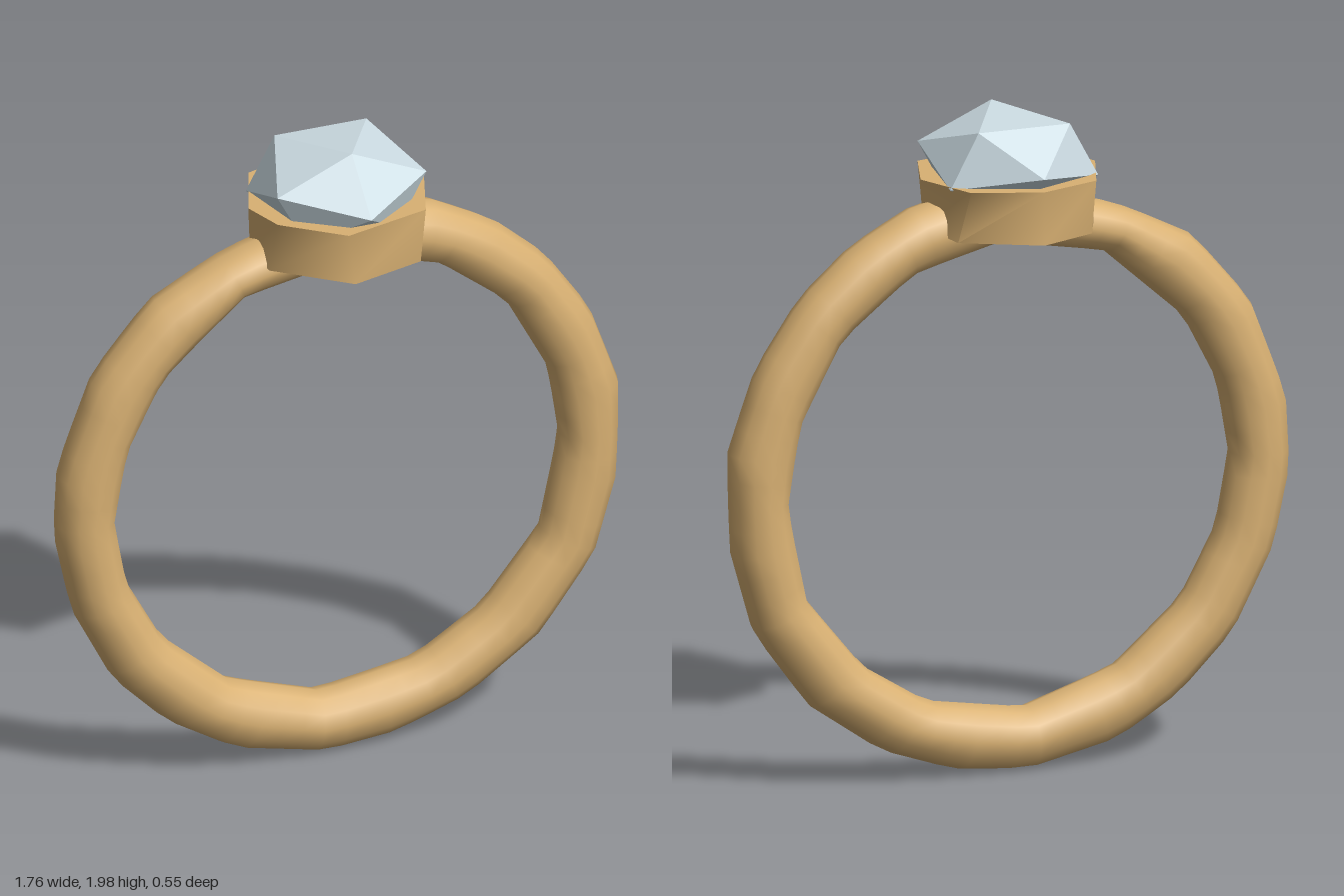
import * as THREE from 'three';
import { mergeVertices, toCreasedNormals } from 'three/addons/utils/BufferGeometryUtils.js';

const gold = new THREE.MeshStandardMaterial({ color: 0xd9b173 });
const crystal = new THREE.MeshStandardMaterial({ color: 0xcbdbe2, flatShading: true });
const CENTRE_Y = 0.88;

// Hand-cut outlines of the band, counter-clockwise from the bottom
const OUTER = [[-0.05, 0], [0.17, 0.02], [0.4, 0.1], [0.63, 0.26], [0.8, 0.49], [0.87, 0.73], [0.88, 1.03],
  [0.79, 1.28], [0.65, 1.48], [0.49, 1.62], [0.28, 1.73], [0, 1.76], [-0.27, 1.69], [-0.38, 1.65], [-0.58, 1.55],
  [-0.76, 1.34], [-0.87, 1.05], [-0.88, 0.83], [-0.83, 0.6], [-0.7, 0.35], [-0.53, 0.18], [-0.33, 0.06]];
const INNER = [[-0.05, 0.185], [0.26, 0.235], [0.46, 0.36], [0.64, 0.58], [0.7, 0.87], [0.66, 1.11], [0.53, 1.35],
  [0.31, 1.52], [0.04, 1.59], [-0.3, 1.53], [-0.55, 1.31], [-0.66, 1.1], [-0.7, 0.88], [-0.66, 0.66],
  [-0.55, 0.46], [-0.34, 0.28]];

// Returns the distance from the ring centre to a polygon at a given angle
function polarOutline(points) {
  const TAU = Math.PI * 2;
  const wrap = (a) => ((a % TAU) + TAU) % TAU;
  const polar = points.map(([x, y]) => ({ a: Math.atan2(y - CENTRE_Y, x), r: Math.hypot(x, y - CENTRE_Y) }));
  return (angle) => {
    for (let i = 0; i < polar.length; i++) {
      const p = polar[i], q = polar[(i + 1) % polar.length];
      const span = wrap(q.a - p.a), t = wrap(angle - p.a);
      if (t <= span) return p.r * q.r * Math.sin(span) / (p.r * Math.sin(t) + q.r * Math.sin(span - t));
    }
    return polar[0].r;
  };
}

// Band: a torus whose vertices are fitted between the two outlines
function makeBand() {
  let geo = new THREE.TorusGeometry(2, 1, 12, 72);
  const outer = polarOutline(OUTER), inner = polarOutline(INNER);
  const pos = geo.attributes.position;
  for (let i = 0; i < pos.count; i++) {
    const x = pos.getX(i), y = pos.getY(i);
    const angle = Math.atan2(y, x), across = Math.hypot(x, y) - 2;
    const ro = outer(angle), ri = inner(angle);
    const r = (ro + ri) / 2 + across * (ro - ri) / 2;
    pos.setXYZ(i, r * Math.cos(angle), CENTRE_Y + r * Math.sin(angle), pos.getZ(i) * 0.09);
  }
  geo.deleteAttribute('uv');
  geo.deleteAttribute('normal');
  geo = mergeVertices(geo);
  geo.computeVertexNormals();
  return new THREE.Mesh(geo, gold);
}

// Setting: a capped collar lofted between two uneven octagons (x, z)
function makeSetting() {
  const top = [[0, -0.275], [-0.19, -0.21], [-0.275, 0], [-0.235, 0.13], [-0.07, 0.272], [0.2, 0.2], [0.275, 0], [0.2, -0.2]];
  const bottom = [[0, -0.275], [-0.18, -0.2], [-0.25, -0.05], [-0.25, 0.1], [-0.05, 0.275], [0.18, 0.21], [0.245, 0.06], [0.22, -0.15]];
  const n = top.length, verts = [], faces = [];
  top.forEach(([x, z]) => verts.push(x, 1.8, z));
  bottom.forEach(([x, z]) => verts.push(x, 1.64, z));
  verts.push(0, 1.8, 0, 0, 1.64, 0);
  for (let i = 0; i < n; i++) {
    const j = (i + 1) % n;
    faces.push(i, n + i, j, j, n + i, n + j);
    faces.push(2 * n, i, j, 2 * n + 1, n + j, n + i);
  }
  const geo = new THREE.BufferGeometry();
  geo.setAttribute('position', new THREE.Float32BufferAttribute(verts, 3));
  geo.setIndex(faces);
  return new THREE.Mesh(toCreasedNormals(geo, 1.1), gold);
}

// Gem: a flattened icosahedron standing on one of its points
function makeGem() {
  const geo = new THREE.IcosahedronGeometry(1, 0);
  const tip = new THREE.Vector3(0, (1 + Math.sqrt(5)) / 2, 1).normalize();
  geo.applyQuaternion(new THREE.Quaternion().setFromUnitVectors(tip, new THREE.Vector3(0, 1, 0)));
  // Turn one corner of the upper girdle to +x
  const pos = geo.attributes.position;
  for (let i = 0; i < pos.count; i++) {
    if (Math.abs(pos.getY(i) - 0.447) < 0.01) {
      geo.rotateY(Math.atan2(pos.getZ(i), pos.getX(i)));
      break;
    }
  }
  geo.scale(0.274, 0.163, 0.274);
  geo.translate(0, 1.837, 0);
  geo.computeVertexNormals();
  return new THREE.Mesh(geo, crystal);
}

export function createModel() {
  const ring = new THREE.Group();
  ring.name = 'ring';
  const parts = { band: makeBand(), setting: makeSetting(), gem: makeGem() };
  for (const [name, mesh] of Object.entries(parts)) {
    mesh.name = name;
    ring.add(mesh);
  }
  return ring;
}
